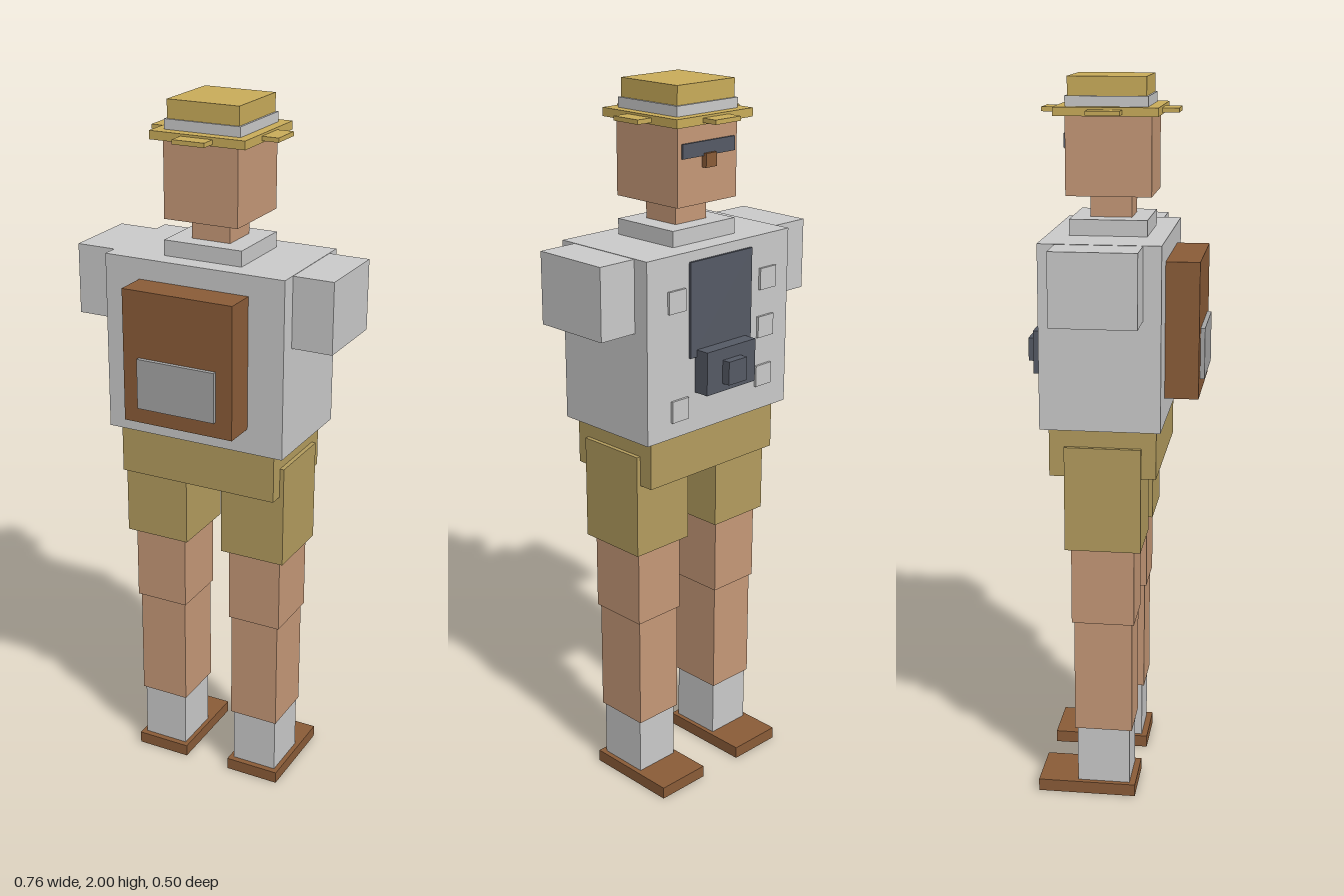
import * as THREE from 'three';

const makeMaterial = (name, color) => {
  const m = new THREE.MeshStandardMaterial({ color });
  m.name = name;
  return m;
};

export function createModel() {
  const shirt = makeMaterial('shirtGrey', 0xcacaca);
  const pocketGrey = makeMaterial('pocketGrey', 0xa6a6a6);
  const straw = makeMaterial('strawYellow', 0xc9ac5a);
  const khaki = makeMaterial('khaki', 0xb39c5e);
  const skin = makeMaterial('skin', 0xc59877);
  const leather = makeMaterial('leatherBrown', 0x8a5c38);
  const charcoal = makeMaterial('charcoal', 0x555a65);

  const model = new THREE.Group();
  model.name = 'hiker';

  const group = (name) => {
    const g = new THREE.Group();
    g.name = name;
    model.add(g);
    return g;
  };

  // Box given by its extents on each axis
  const box = (parent, name, material, [x0, x1], [y0, y1], [z0, z1]) => {
    const mesh = new THREE.Mesh(new THREE.BoxGeometry(x1 - x0, y1 - y0, z1 - z0), material);
    mesh.position.set((x0 + x1) / 2, (y0 + y1) / 2, (z0 + z1) / 2);
    mesh.name = name;
    parent.add(mesh);
  };
  const wide = (half) => [-half, half];

  // Head and face
  const head = group('head');
  box(head, 'skull', skin, wide(0.108), [1.69, 1.905], [-0.13, 0.1]);
  box(head, 'neck', skin, wide(0.057), [1.62, 1.69], [-0.07, 0.042]);
  box(head, 'glasses', charcoal, wide(0.095), [1.815, 1.853], [-0.136, -0.128]);
  box(head, 'nose', leather, wide(0.02), [1.785, 1.822], [-0.145, -0.128]);

  // Straw hat with stepped brim
  const hat = group('hat');
  box(hat, 'brim', straw, wide(0.138), [1.9, 1.923], [-0.158, 0.12]);
  box(hat, 'brimSides', straw, wide(0.185), [1.905, 1.917], [-0.065, 0.025]);
  box(hat, 'brimEnds', straw, wide(0.046), [1.905, 1.917], [-0.203, 0.165]);
  box(hat, 'hatBand', shirt, wide(0.11), [1.923, 1.95], [-0.13, 0.09]);
  box(hat, 'crown', straw, wide(0.104), [1.95, 2], [-0.124, 0.085]);

  // Shirt
  const torso = group('torso');
  box(torso, 'chest', shirt, wide(0.265), [1.09, 1.587], [-0.18, 0.144]);
  box(torso, 'collar', shirt, wide(0.115), [1.587, 1.63], [-0.12, 0.09]);

  // Small shirt pockets on the chest
  for (const [x, y] of [[0.162, 1.465], [0.15, 1.165], [-0.18, 1.465], [-0.175, 1.33], [-0.17, 1.19]]) {
    box(torso, 'shirtPocket', shirt, [x - 0.03, x + 0.03], [y - 0.03, y + 0.03], [-0.187, -0.178]);
  }

  // Strap panel and camera on the chest
  const camera = group('chestCamera');
  box(camera, 'strapPanel', charcoal, wide(0.115), [1.3, 1.56], [-0.187, -0.178]);
  box(camera, 'cameraBody', charcoal, wide(0.092), [1.2, 1.32], [-0.226, -0.178]);
  box(camera, 'cameraLens', charcoal, wide(0.034), [1.222, 1.287], [-0.25, -0.226]);

  // Backpack
  const pack = group('backpack');
  box(pack, 'packBody', leather, wide(0.162), [1.16, 1.53], [0.144, 0.235]);
  box(pack, 'packPocket', pocketGrey, wide(0.115), [1.205, 1.345], [0.235, 0.247]);

  // Shorts waist
  box(group('shorts'), 'waist', khaki, wide(0.235), [0.953, 1.09], [-0.16, 0.13]);

  // Arms and legs, mirrored
  for (const side of [1, -1]) {
    const limb = group(side > 0 ? 'leftLimbs' : 'rightLimbs');
    const part = (name, material, inner, outer, y, z) =>
      box(limb, name, material, side > 0 ? [inner, outer] : [-outer, -inner], y, z);
    part('sleeve', shirt, 0.264, 0.38, [1.39, 1.586], [-0.134, 0.096]);
    part('shortsLeg', khaki, 0.055, 0.247, [0.745, 1.037], [-0.118, 0.09]);
    part('thigh', skin, 0.072, 0.23, [0.525, 0.745], [-0.103, 0.071]);
    part('calf', skin, 0.077, 0.223, [0.2, 0.525], [-0.097, 0.065]);
    part('sock', shirt, 0.083, 0.218, [0.035, 0.2], [-0.09, 0.058]);
    part('shoe', leather, 0.07, 0.232, [0, 0.035], [-0.202, 0.075]);
  }

  return model;
}
